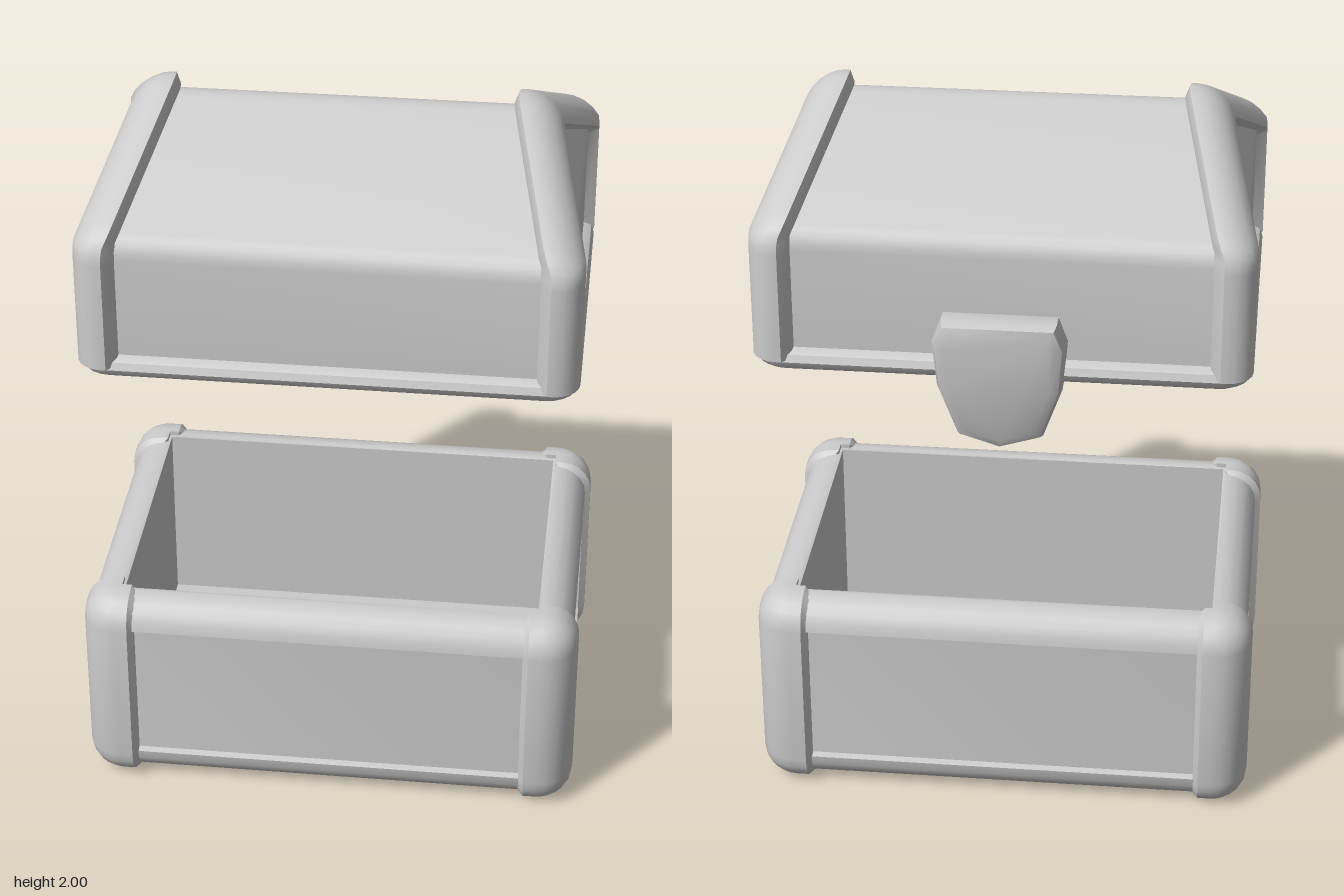
import * as THREE from 'three';
import { toCreasedNormals } from 'three/addons/utils/BufferGeometryUtils.js';

const material = new THREE.MeshStandardMaterial({ color: 0xcccccc });
const HX = 0.695, HZ = 0.51, R = 0.1; // base half sizes and corner radius
const SLOPE = Math.atan(2);           // angle of the roof's normal

// Solid skin through loops of [x, y, z] points, capped with fans at both ends
function loft(loops, caps = true) {
  const n = loops[0].length, index = [];
  for (let i = 0; i < loops.length - 1; i++) {
    for (let j = 0; j < n; j++) {
      const a = i * n + j, b = i * n + (j + 1) % n;
      index.push(a, b, b + n, a, b + n, a + n);
    }
  }
  if (caps) {
    const last = (loops.length - 1) * n;
    for (let j = 1; j < n - 1; j++) index.push(0, j + 1, j, last, last + j, last + j + 1);
  }
  // Turn the faces outward if the enclosed volume is negative
  const pts = loops.flat().map((p) => new THREE.Vector3(...p));
  const cross = new THREE.Vector3();
  let volume = 0;
  for (let i = 0; i < index.length; i += 3) {
    volume += pts[index[i]].dot(cross.crossVectors(pts[index[i + 1]], pts[index[i + 2]]));
  }
  if (volume < 0) index.reverse();
  const geometry = new THREE.BufferGeometry().setFromPoints(pts);
  geometry.setIndex(index);
  return toCreasedNormals(geometry, 0.6);
}

// Rounded rectangle at height y, moved inward by d
function ring(hx, hz, r, d, y) {
  const loop = [], m = Math.max(r, d), rad = Math.max(r - d, 0);
  for (let q = 0; q < 4; q++) {
    const sx = q === 0 || q === 3 ? 1 : -1, sz = q < 2 ? 1 : -1;
    for (let k = 0; k <= 5; k++) {
      const t = (q + k / 5) * Math.PI / 2;
      loop.push([sx * (hx - m) + rad * Math.cos(t), y, sz * (hz - m) + rad * Math.sin(t)]);
    }
  }
  return loop;
}

// Points of an arc
function arc(cx, cy, r, from, to, steps) {
  return Array.from({ length: steps + 1 }, (_, i) => {
    const t = from + (to - from) * i / steps;
    return [cx + r * Math.cos(t), cy + r * Math.sin(t)];
  });
}

function addMesh(parent, name, geometry) {
  const mesh = new THREE.Mesh(geometry, material);
  mesh.name = name;
  parent.add(mesh);
}

// Gable ends tip inward above the eaves
const lean = (y) => 0.45 * Math.max(0, y - 1.73);

// Base: floor, walls and rounded rails as one hollow tray
function baseTray() {
  const section = [
    [0.51, 0.012],
    ...arc(0.1, 0.095, 0.083, -Math.PI / 2, -Math.PI, 5),
    [0.035, 0.1], [0.035, 0.515],
    ...arc(0.1, 0.52, 0.085, Math.PI, Math.PI / 2, 5),
    [0.115, 0.6], [0.115, 0.05], [0.51, 0.05],
  ];
  return loft(section.map(([d, y]) => ring(HX, HZ, R, d, y)));
}

// Base corner guard, wrapping one corner from top to bottom
function cornerPost(sx, sz) {
  const section = [
    [0.108, 0],
    ...arc(0.09, 0.09, 0.09, -Math.PI / 2, -Math.PI, 5),
    ...arc(0.09, 0.525, 0.09, Math.PI, Math.PI / 2, 5),
    [0.108, 0.615],
  ];
  const small = section.map(([d, y]) => [0.06 + (d - 0.06) * 0.7, 0.3075 + (y - 0.3075) * 0.95]);
  const at = (sec, place) => sec.map(([d, y]) => {
    const [x, z] = place(d);
    return [sx * x, y, sz * z];
  });
  const loops = [at(small, (d) => [HX - 0.15, HZ - d]), at(section, (d) => [HX - 0.135, HZ - d])];
  for (let k = 0; k <= 6; k++) {
    const t = (1 - k / 6) * Math.PI / 2;
    loops.push(at(section, (d) => {
      const m = Math.max(R, d), r = Math.max(R - d, 0);
      return [HX - m + r * Math.cos(t), HZ - m + r * Math.sin(t)];
    }));
  }
  loops.push(at(section, (d) => [HX - d, HZ - 0.145]), at(small, (d) => [HX - d, HZ - 0.16]));
  return loft(loops);
}

// Lid: hollow gabled shell made of stacked rectangles, inside then outside
function lidShell() {
  const skin = (hx, d) => [
    [0.51 - d, 1.4],
    ...arc(0.4, 1.69, 0.11 - d, 0, SLOPE, 4),
    ...arc(0, 1.89, 0.11 - d, SLOPE, Math.PI / 2, 2),
  ].map(([w, y]) => {
    const x = hx - lean(y);
    return [[x, y, w], [-x, y, w], [-x, y, -w], [x, y, -w]];
  });
  return loft([...skin(0.57, 0.1).reverse(), ...skin(0.635, 0.04)]);
}

// Rounded rail around the lid's opening
function lidRail() {
  const section = [
    [0.095, 1.34], [0.035, 1.34], [0.01, 1.355], [0, 1.375],
    [0.008, 1.395], [0.03, 1.408], [0.095, 1.41], [0.095, 1.34],
  ];
  return loft(section.map(([d, y]) => ring(0.665, 0.5, 0.09, d, y)), false);
}

// Thick trim following the gable outline at one end of the lid
function gableTrim(side) {
  const section = [
    [0.55, 0.045], [0.555, 0.03], [0.58, 0],
    ...arc(0.595, 0.07, 0.07, -Math.PI / 2, 0, 5),
    [0.665, 0.085], [0.63, 0.105],
  ];
  const half = [[0.4, 1.38, 0]];
  for (let k = 0; k <= 5; k++) half.push([0.4, 1.69, SLOPE * k / 5]);
  for (let k = 0; k <= 2; k++) half.push([0, 1.89, SLOPE + (Math.PI / 2 - SLOPE) * k / 2]);
  const path = [...half, ...half.slice(0, -1).reverse().map(([z, y, t]) => [-z, y, Math.PI - t])];
  return loft(path.map(([cz, cy, t]) => section.map(([x, d]) => {
    const y = cy + (0.11 - d) * Math.sin(t);
    return [side * (x - lean(y)), y, cz + (0.11 - d) * Math.cos(t)];
  })));
}

// Tapered latch tongue, tilted with its height
function latchTongue() {
  const right = [[0.13, 1.5], [0.145, 1.46], [0.135, 1.34], [0.09, 1.21]];
  const outline = [...right, [0, 1.18], ...right.slice().reverse().map(([x, y]) => [-x, y])];
  const shape = new THREE.Shape(outline.map(([x, y]) => new THREE.Vector2(x, y)));
  const geometry = new THREE.ExtrudeGeometry(shape, {
    depth: 0.05, bevelSize: 0.032, bevelThickness: 0.035, bevelSegments: 2,
  });
  const p = geometry.attributes.position;
  for (let i = 0; i < p.count; i++) {
    p.setZ(i, p.getZ(i) - 0.025 - 0.475 - (p.getY(i) - 1.34) * 0.1);
  }
  return toCreasedNormals(geometry, 0.5);
}

export function createModel() {
  const model = new THREE.Group();
  model.name = 'openChest';

  const base = new THREE.Group();
  base.name = 'base';
  addMesh(base, 'baseTray', baseTray());
  for (const sx of [1, -1]) {
    for (const sz of [1, -1]) {
      addMesh(base, `${sz > 0 ? 'front' : 'back'}${sx > 0 ? 'Left' : 'Right'}Post`, cornerPost(sx, sz));
    }
  }

  const lid = new THREE.Group();
  lid.name = 'lid';
  addMesh(lid, 'lidShell', lidShell());
  addMesh(lid, 'lidRail', lidRail());
  addMesh(lid, 'leftGableTrim', gableTrim(1));
  addMesh(lid, 'rightGableTrim', gableTrim(-1));
  addMesh(lid, 'latch', latchTongue());

  // The box sits slightly forward because the latch sticks out behind
  base.position.z = lid.position.z = 0.02;
  model.add(base, lid);
  return model;
}
